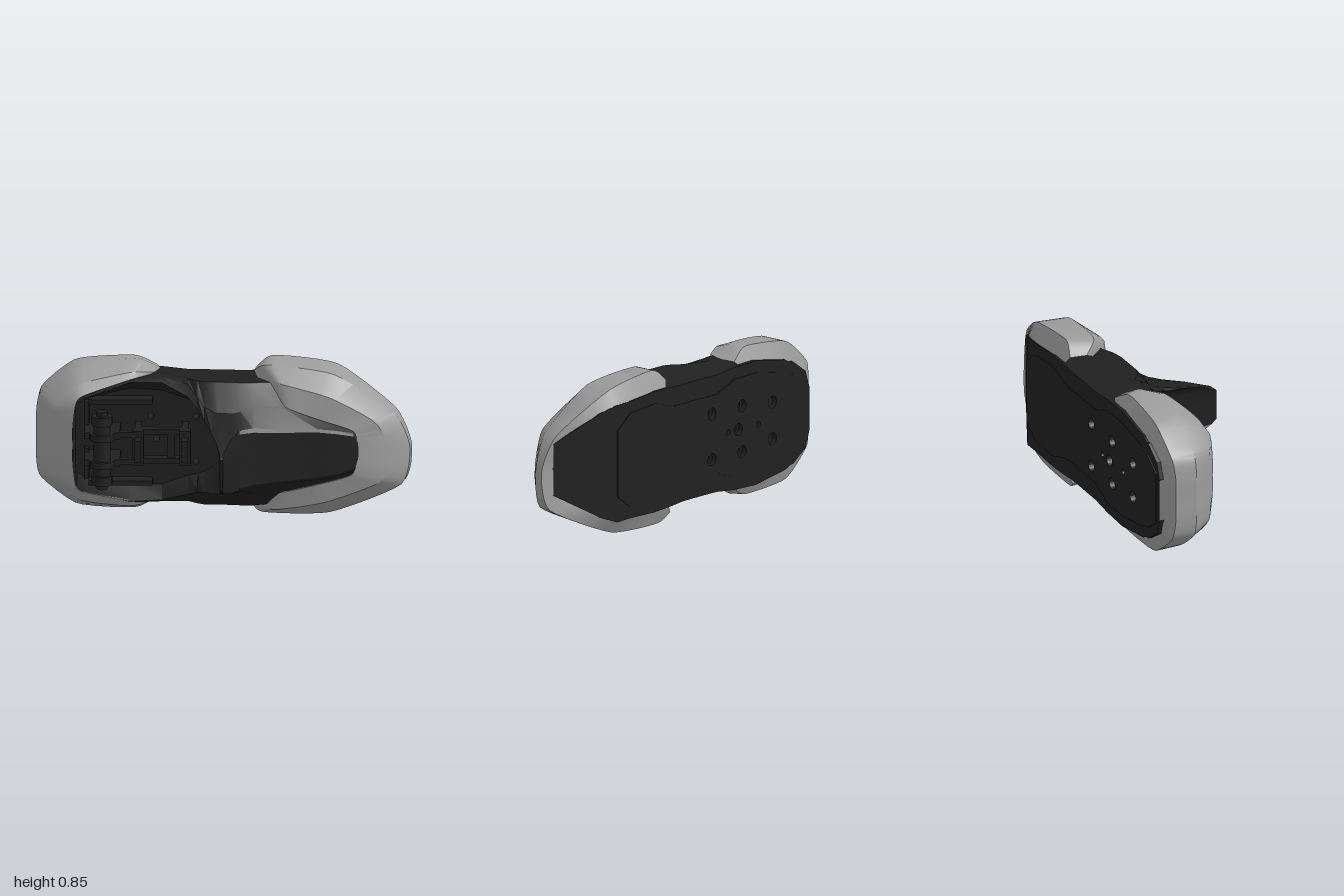
import * as THREE from 'three';
import { toCreasedNormals } from 'three/addons/utils/BufferGeometryUtils.js';

const dark = new THREE.MeshStandardMaterial({ color: 0x202020, side: THREE.DoubleSide });
const grey = new THREE.MeshStandardMaterial({ color: 0x9c9c9c, side: THREE.DoubleSide });
const clamp = THREE.MathUtils.clamp;

function add(parent, name, geometry, material, x = 0, y = 0, z = 0) {
  const mesh = new THREE.Mesh(geometry, material);
  mesh.name = name;
  mesh.position.set(x, y, z);
  parent.add(mesh);
}

// Skin over rings that all hold the same number of points
function loft(rings, crease) {
  const n = rings[0].length, index = [];
  for (let i = 0; i < rings.length - 1; i++) {
    for (let j = 0; j < n - 1; j++) {
      const a = i * n + j, b = a + 1, c = a + n, d = c + 1;
      index.push(a, c, b, b, c, d);
    }
  }
  const g = new THREE.BufferGeometry();
  g.setAttribute('position', new THREE.Float32BufferAttribute(rings.flat().flatMap(p => [p.x, p.y, p.z]), 3));
  g.setIndex(index);
  return toCreasedNormals(g, crease);
}

// Bumper shell: smooth curves wrapped around one end, plus a thin lip
function shell(curves) {
  const rings = curves.map(c => new THREE.CatmullRomCurve3(
    c.map(p => new THREE.Vector3(...p)), false, 'catmullrom', 0.3).getPoints(48));
  rings.push(rings[rings.length - 1].map(p => p.clone().add(new THREE.Vector3(0, 0, -0.015))));
  return loft(rings, 0.6);
}

// Hull stations: x, back half width, then (half width, z) of side, shoulder, rim and inner edge
const recess = [
  [-0.93, 0.12, 0.12, -0.30, 0.10, -0.20, 0.08, -0.16, 0.07, -0.16],
  [-0.90, 0.21, 0.22, -0.28, 0.19, -0.17, 0.17, -0.13, 0.15, -0.13],
  [-0.80, 0.28, 0.29, -0.25, 0.26, -0.10, 0.22, -0.04, 0.20, -0.04],
  [-0.79, 0.28, 0.29, -0.25, 0.26, -0.10, 0.22, -0.04, 0.20, -0.22],
  [-0.78, 0.28, 0.30, -0.25, 0.27, -0.10, 0.23, -0.04, 0.20, -0.22],
  [-0.74, 0.30, 0.32, -0.25, 0.29, -0.10, 0.26, -0.05, 0.23, -0.22],
  [-0.50, 0.34, 0.355, -0.25, 0.345, -0.15, 0.33, -0.12, 0.27, -0.22],
  [-0.33, 0.335, 0.35, -0.25, 0.345, -0.18, 0.325, -0.14, 0.26, -0.22],
  [-0.19, 0.32, 0.34, -0.17, 0.32, -0.13, 0.27, -0.08, 0.21, -0.22],
  [-0.14, 0.32, 0.34, -0.13, 0.275, -0.065, 0.23, -0.02, 0.20, -0.22],
  [-0.10, 0.32, 0.34, -0.11, 0.24, -0.03, 0.197, 0.07, 0.185, -0.22],
  [-0.06, 0.32, 0.34, -0.11, 0.225, -0.01, 0.168, 0.19, 0.16, -0.22],
  [-0.04, 0.32, 0.34, -0.11, 0.22, 0, 0.15, 0.25, 0.14, -0.22],
  [-0.03, 0.32, 0.34, -0.11, 0.22, 0, 0.14, 0.29, 0.13, -0.22],
];
const fin = [
  [-0.008, 0.32, 0.34, -0.11, 0.22, 0, 0.11, 0.38, 0.085, 0.41],
  [0.008, 0.32, 0.34, -0.11, 0.22, 0, 0.11, 0.38, 0.085, 0.41],
  [0.045, 0.32, 0.34, -0.11, 0.22, 0, 0.148, 0.25, 0.13, 0.26],
  [0.09, 0.32, 0.34, -0.11, 0.225, -0.01, 0.168, 0.135, 0.15, 0.15],
  [0.16, 0.325, 0.34, -0.12, 0.24, -0.04, 0.165, 0.085, 0.145, 0.10],
  [0.30, 0.33, 0.335, -0.17, 0.23, -0.07, 0.15, 0.055, 0.135, 0.065],
  [0.50, 0.32, 0.29, -0.25, 0.18, -0.08, 0.14, 0.01, 0.125, 0.02],
  [0.60, 0.32, 0.27, -0.26, 0.16, -0.08, 0.125, -0.01, 0.11, 0.00],
  [0.69, 0.285, 0.23, -0.24, 0.13, -0.09, 0.105, -0.035, 0.09, -0.025],
  [0.72, 0.265, 0.21, -0.24, 0.10, -0.10, 0.07, -0.05, 0.06, -0.045],
  [0.93, 0.14, 0.13, -0.21, 0.10, -0.18, 0.08, -0.17, 0.06, -0.17],
];
const stations = [...recess, ...fin];

// Centre height: the fin and the end next to it sit a little lower
const midY = (x, z) => 0.425 - 0.02 * clamp(Math.max(x / 0.6, x > -0.2 ? (z + 0.1) * 10 : 0), 0, 1);

// Half of a cross-section, from the middle of the back round to the middle of the front
function halfRing([x, hb, hs, zs, hm, zm, hr, zr, hi, zi], sign) {
  const open = x > -0.785 && x < -0.035;      // the base plate closes this stretch
  const zb = -0.405 + Math.max(0, x - 0.6) * 0.48;
  const points = [[open ? hb - 0.13 : 0, zb], [hb, zb], [hs, zs], [hm, zm], [hr, zr], [hi, zi], [open ? hi : 0, zi]]
    .map(([h, z]) => new THREE.Vector3(x, midY(x, z) + sign * h, z));
  return sign < 0 ? points : points.reverse();
}

// Base plate layer with round holes, drawn in at the waist and the far end
function plate(holes, depth) {
  const inset = x => x > 0.55 ? 0.14 : Math.abs(x) < 0.2 ? 0.105 : 0.065;
  const edge = stations.filter(s => s[0] > -0.91 && s[0] < 0.61).map(([x, h]) => [x, h - inset(x)]);
  const shape = new THREE.Shape([
    ...edge.map(([x, h]) => new THREE.Vector2(x, midY(x, -0.4) - h)),
    ...edge.reverse().map(([x, h]) => new THREE.Vector2(x, midY(x, -0.4) + h))]);
  for (const [x, y, r] of holes) {
    const hole = new THREE.Path();
    hole.absarc(x, y, r, 0, Math.PI * 2, true);
    shape.holes.push(hole);
  }
  return new THREE.ExtrudeGeometry(shape, { depth, bevelEnabled: false, curveSegments: 10 });
}

export function createModel() {
  const model = new THREE.Group();
  model.name = 'pedal';

  // Hull halves with the open recess on one side and the tall fin on the other
  add(model, 'hullLower', loft(stations.map(s => halfRing(s, -1)), 0.45), dark);
  add(model, 'hullUpper', loft(stations.map(s => halfRing(s, 1)), 0.45), dark);

  // Base plate with countersunk through holes and blind holes
  const through = [[-0.39, 0.54], [-0.15, 0.54], [-0.36, 0.415], [-0.39, 0.29], [-0.15, 0.29]];
  const blind = [[-0.63, 0.515, 0.033], [-0.63, 0.315, 0.033], [-0.28, 0.415, 0.015], [-0.52, 0.415, 0.015]];
  add(model, 'basePlateBack', plate([...through.map(p => [...p, 0.033]), ...blind], 0.03), dark, 0, 0, -0.41);
  add(model, 'basePlateFloor', plate(through.map(p => [...p, 0.016]), 0.16), dark, 0, 0, -0.38);

  // Shell around the fin end: back inner, back outer, middle, front outer, front inner curves
  add(model, 'leftShell', shell([
    [[0.2, 0.73, -0.395], [0.3, 0.735, -0.395], [0.6, 0.71, -0.395], [0.83, 0.59, -0.28], [0.92, 0.41, -0.235],
      [0.84, 0.23, -0.27], [0.6, 0.1, -0.395], [0.28, 0.1, -0.395], [0.18, 0.11, -0.395]],
    [[0.17, 0.78, -0.37], [0.26, 0.845, -0.35], [0.6, 0.8, -0.35], [0.91, 0.59, -0.25], [0.995, 0.4, -0.22],
      [0.955, 0.19, -0.24], [0.59, 0.02, -0.35], [0.22, 0, -0.35], [0.14, 0.05, -0.37]],
    [[0.155, 0.78, -0.28], [0.23, 0.835, -0.2], [0.58, 0.795, -0.17], [0.9, 0.59, -0.16], [0.985, 0.4, -0.17],
      [0.94, 0.19, -0.16], [0.56, 0.03, -0.17], [0.2, 0.02, -0.2], [0.13, 0.07, -0.28]],
    [[0.17, 0.76, -0.24], [0.3, 0.76, -0.1], [0.56, 0.7, -0.055], [0.8, 0.57, -0.05], [0.89, 0.4, -0.08],
      [0.84, 0.24, -0.055], [0.54, 0.12, -0.055], [0.26, 0.06, -0.11], [0.15, 0.09, -0.24]],
    [[0.18, 0.73, -0.24], [0.33, 0.64, -0.07], [0.52, 0.575, -0.045], [0.69, 0.52, -0.03], [0.715, 0.4, -0.03],
      [0.68, 0.28, -0.03], [0.5, 0.22, -0.045], [0.3, 0.16, -0.09], [0.18, 0.12, -0.24]],
  ]), grey);

  // Shell around the recess end, mirrored top to bottom (x, half height, z)
  const halves = [
    [[-0.4, 0.31, -0.395], [-0.5, 0.315, -0.395], [-0.75, 0.28, -0.395], [-0.87, 0.19, -0.395], [-0.905, 0.1, -0.395], [-0.91, 0, -0.395]],
    [[-0.36, 0.345, -0.38], [-0.48, 0.405, -0.35], [-0.79, 0.378, -0.36], [-0.97, 0.235, -0.35], [-0.995, 0.12, -0.34], [-0.995, 0, -0.34]],
    [[-0.34, 0.35, -0.3], [-0.47, 0.413, -0.26], [-0.78, 0.383, -0.22], [-0.975, 0.235, -0.22], [-1, 0.12, -0.22], [-1, 0, -0.22]],
    [[-0.37, 0.355, -0.2], [-0.5, 0.37, -0.14], [-0.77, 0.32, -0.08], [-0.9, 0.2, -0.09], [-0.925, 0.1, -0.1], [-0.925, 0, -0.1]],
    [[-0.39, 0.345, -0.19], [-0.5, 0.335, -0.12], [-0.75, 0.265, -0.045], [-0.785, 0.22, -0.025], [-0.8, 0.1, -0.02], [-0.8, 0, -0.02]],
  ];
  add(model, 'rightShell', shell(halves.map(c => [
    ...c.map(([x, h, z]) => [x, 0.435 - h, z]),
    ...c.slice(0, -1).reverse().map(([x, h, z]) => [x, 0.435 + h, z])])), grey);

  // Clamp mechanism inside the recess
  const clampGroup = new THREE.Group();
  clampGroup.name = 'clampMechanism';
  model.add(clampGroup);
  const box = (name, w, h, d, x, y, z) => add(clampGroup, name, new THREE.BoxGeometry(w, h, d), dark, x, y, z);
  const roll = (name, r, h, y) => add(clampGroup, name, new THREE.CylinderGeometry(r, r, h, 24), dark, -0.645, y, -0.025);
  roll('axle', 0.045, 0.3, 0.41);
  for (const s of [-1, 1]) {
    roll('axleKnob', 0.055, 0.05, 0.41 + s * 0.165);
    roll('axleTip', 0.03, 0.03, 0.41 + s * 0.2);
    roll('axleDisc', 0.065, 0.035, 0.41 + s * 0.075);
    box('axleBracket', 0.19, 0.035, 0.19, -0.645, 0.41 + s * 0.075, -0.125);
    box('bridgeRail', 0.25, 0.03, 0.05, -0.33, 0.415 + s * 0.08, -0.1);
    box('sideRail', 0.34, 0.025, 0.08, -0.55, 0.415 + s * 0.225, -0.18);
    box('endBar', 0.025, 0.17, 0.05, -0.73, 0.415 + s * 0.13, -0.2);
    box('clampFoot', 0.09, 0.03, 0.04, -0.51, 0.415 + s * 0.075, -0.055);
  }
  for (const x of [-0.455, -0.205]) {
    box('clampLeg', 0.035, 0.19, 0.18, x, 0.415, -0.13);
    box('clampBar', 0.06, 0.19, 0.06, x, 0.415, -0.07);
    box('clampJaw', 0.035, 0.12, 0.07, x, 0.415, -0.01);
  }
  box('crossBar', 0.04, 0.16, 0.04, -0.28, 0.415, -0.1);
  return model;
}
